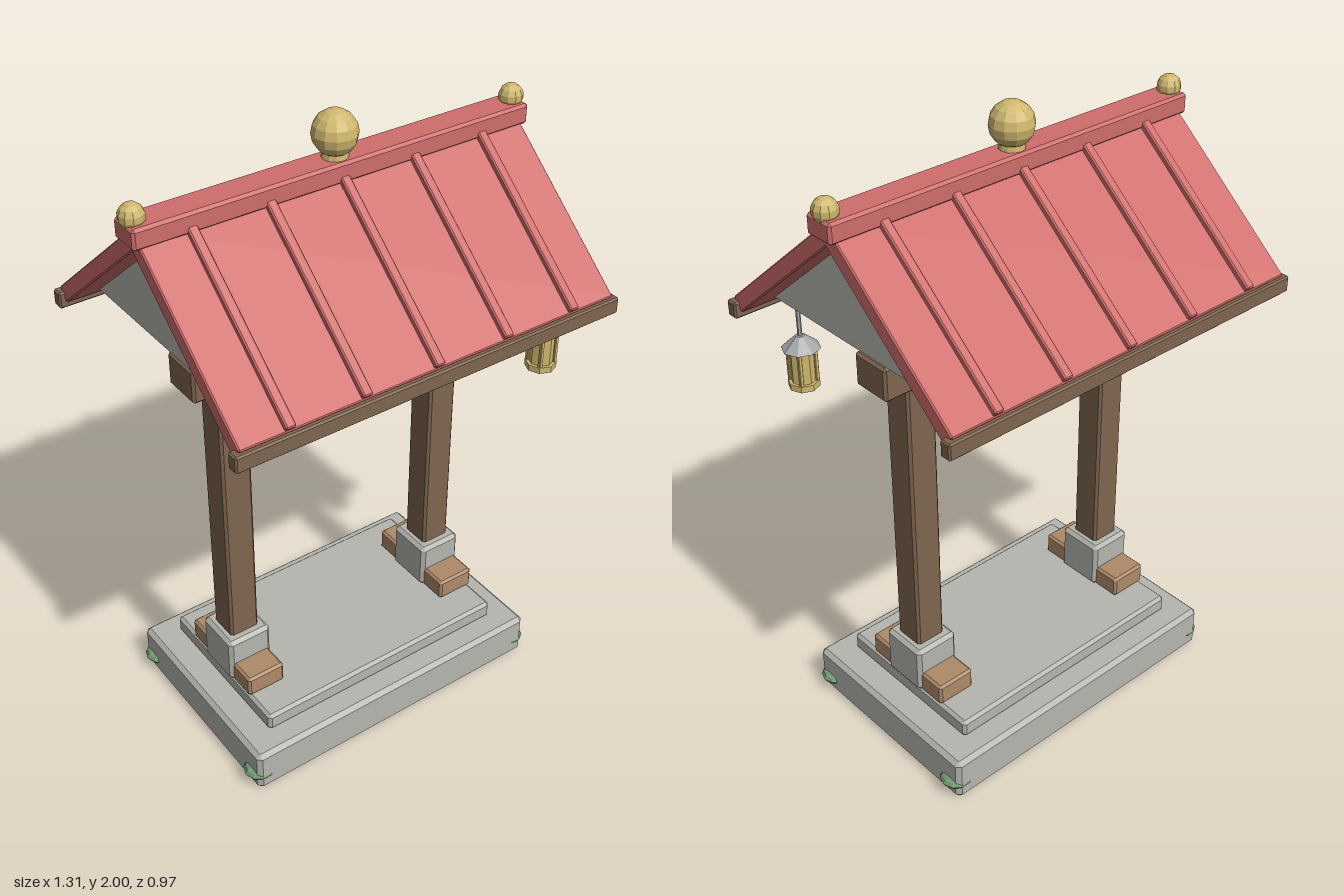
import * as THREE from 'three';
import { ConvexGeometry } from 'three/addons/geometries/ConvexGeometry.js';

const mat = (name, color, flat = true) => {
  const m = new THREE.MeshStandardMaterial({ color, flatShading: flat });
  m.name = name;
  return m;
};

// Box with chamfered edges
function chamferBox(w, h, d, c) {
  const pts = [];
  for (const x of [-1, 1]) for (const y of [-1, 1]) for (const z of [-1, 1]) {
    pts.push(
      new THREE.Vector3(x * w / 2, y * (h / 2 - c), z * (d / 2 - c)),
      new THREE.Vector3(x * (w / 2 - c), y * h / 2, z * (d / 2 - c)),
      new THREE.Vector3(x * (w / 2 - c), y * (h / 2 - c), z * d / 2));
  }
  return new ConvexGeometry(pts);
}

export function createModel() {
  const root = new THREE.Group();
  root.name = 'roofedGate';
  const stone = mat('stone', 0xb6b6b0);
  const darkWood = mat('darkWood', 0x7f654f);
  const lightWood = mat('lightWood', 0xae8b6a);
  const red = mat('redRoof', 0xcf6e6c);
  const gold = mat('gold', 0xd0b86e);
  const moss = mat('moss', 0x749c72);
  const metal = mat('metal', 0xa6a8aa);

  const add = (parent, name, geo, material, x = 0, y = 0, z = 0) => {
    const m = new THREE.Mesh(geo, material);
    m.name = name;
    m.position.set(x, y, z);
    parent.add(m);
    return m;
  };
  // Chamfered box given by its size, bottom height and centre
  const box = (name, w, h, d, material, x, y0, z = 0, c = 0.008, parent = root) =>
    add(parent, name, chamferBox(w, h, d, c), material, x, y0 + h / 2, z);
  const cyl = (name, rTop, rBottom, h, sides, material, x, y0, z = 0, parent = root) =>
    add(parent, name, new THREE.CylinderGeometry(rTop, rBottom, h, sides), material, x, y0 + h / 2, z);

  // Stone base
  box('baseSlab', 1.065, 0.145, 0.7, stone, 0, 0, 0, 0.014);
  box('baseStep', 0.885, 0.06, 0.55, stone, 0, 0.145, 0, 0.01);

  // Posts with plinths, feet and braces; moss on the base corners
  for (const s of [-1, 1]) {
    box('plinth', 0.15, 0.16, 0.16, stone, s * 0.38, 0.205, 0, 0.012);
    box('footBeam', 0.13, 0.072, 0.335, lightWood, s * 0.38, 0.205);
    box('post', 0.1, 0.98, 0.1, darkWood, s * 0.38, 0.33);
    const brace = add(root, 'brace', chamferBox(0.05, 0.27, 0.05, 0.005), lightWood, s * 0.277, 1.215, 0);
    brace.rotation.z = s * 0.72;
    for (const t of [-1, 1]) {
      const patch = add(root, 'mossPatch', new THREE.SphereGeometry(0.05, 10, 6), moss, s * 0.505, 0.05, t * 0.305);
      patch.scale.set(1, 0.45, 1);
    }
  }

  // Cross beam and cap plate
  box('crossBeam', 1.03, 0.108, 0.132, darkWood, 0, 1.295);
  box('capPlate', 1.0, 0.036, 0.18, lightWood, 0, 1.401);

  // Fitting below the beam
  cyl('fittingRing', 0.062, 0.062, 0.014, 12, gold, 0, 1.283);
  cyl('fittingStem', 0.034, 0.034, 0.063, 10, metal, 0, 1.222);

  // Two roof slopes with battens and eave boards
  const slope = 0.7;
  for (const turn of [0, Math.PI]) {
    const side = new THREE.Group();
    side.name = 'roofSide';
    side.rotation.y = turn;
    root.add(side);
    const tilt = new THREE.Group();
    tilt.name = 'roofSlope';
    tilt.position.y = 1.845;
    tilt.rotation.x = slope;
    side.add(tilt);
    box('roofPanel', 1.25, 0.05, 0.624, red, 0, -0.05, 0.312, 0.004, tilt);
    for (let i = -2; i <= 2; i++) {
      box('batten', 0.03, 0.022, 0.59, red, i * 0.237, -0.005, 0.325, 0.004, tilt);
    }
    box('eaveBoard', 1.285, 0.052, 0.038, darkWood, 0, 1.385, 0.468, 0.005, side);
  }
  box('ridgeCap', 1.29, 0.062, 0.1, red, 0, 1.803);

  // Gable panels
  const tri = new THREE.Shape();
  tri.moveTo(-0.41, 1.437);
  tri.lineTo(0.41, 1.437);
  tri.lineTo(0, 1.785);
  tri.closePath();
  const gable = new THREE.ExtrudeGeometry(tri, { depth: 0.03, bevelEnabled: false });
  gable.translate(0, 0, -0.015);
  gable.rotateY(Math.PI / 2);
  for (const s of [-1, 1]) add(root, 'gablePanel', gable, stone, s * 0.52);

  // Ridge finials
  cyl('finialNeck', 0.036, 0.04, 0.03, 12, gold, 0, 1.855);
  add(root, 'centreFinial', new THREE.SphereGeometry(0.066, 12, 8), gold, 0, 1.934);
  for (const s of [-1, 1]) {
    add(root, 'endFinial', new THREE.SphereGeometry(0.037, 10, 7), gold, s * 0.618, 1.879);
  }

  // Hanging lantern
  const lantern = new THREE.Group();
  lantern.name = 'lantern';
  lantern.position.set(0.512, 0, 0.33);
  root.add(lantern);
  cyl('lanternRod', 0.007, 0.007, 0.17, 6, metal, 0, 1.325, 0, lantern);
  cyl('lanternRoof', 0.014, 0.058, 0.04, 8, metal, 0, 1.297, 0, lantern);
  cyl('lanternBody', 0.037, 0.037, 0.12, 8, gold, 0, 1.18, 0, lantern);
  cyl('lanternBase', 0.047, 0.047, 0.02, 8, gold, 0, 1.17, 0, lantern);
  for (let i = 0; i < 4; i++) {
    const a = Math.PI / 4 + i * Math.PI / 2;
    box('lanternBar', 0.012, 0.12, 0.012, gold, Math.cos(a) * 0.039, 1.18, Math.sin(a) * 0.039, 0.002, lantern);
  }
  return root;
}
